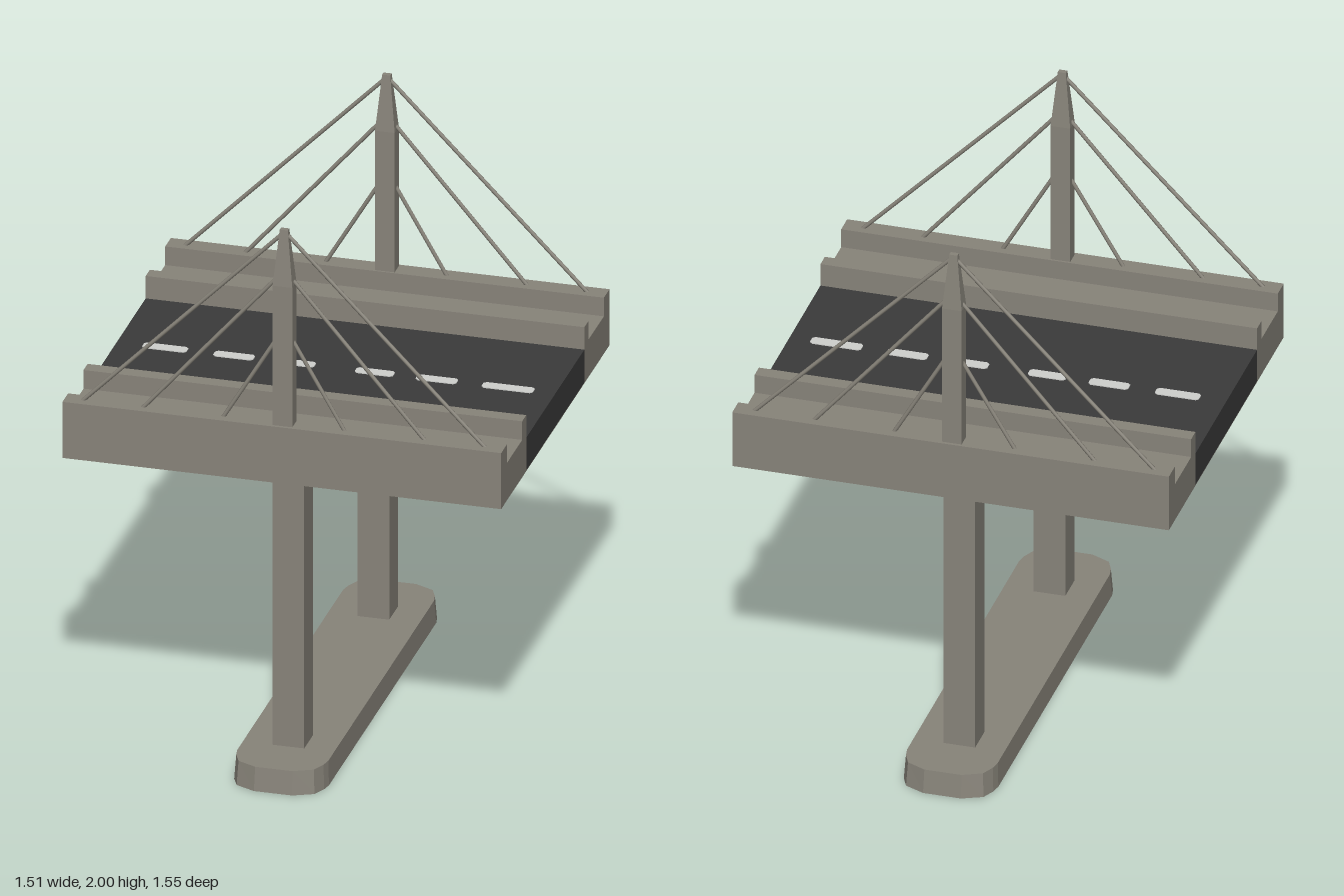
import * as THREE from 'three';

const concrete = new THREE.MeshStandardMaterial({ color: 0x88847a, side: THREE.DoubleSide });
concrete.name = 'concrete';
const asphalt = new THREE.MeshStandardMaterial({ color: 0x3b3b3b });
asphalt.name = 'asphalt';
const paint = new THREE.MeshStandardMaterial({ color: 0xcfd0cd });
paint.name = 'roadPaint';

const ZC = -0.005; // deck centre line
const DECK_BOTTOM = 1.085, CURB_TOP = 1.29, ROAD_TOP = 1.208, HALF_LENGTH = 0.756;

function add(parent, name, geometry, material, x = 0, y = 0, z = 0) {
  const mesh = new THREE.Mesh(geometry, material);
  mesh.name = name;
  mesh.position.set(x, y, z);
  parent.add(mesh);
  return mesh;
}

function flat(geometry) {
  const g = geometry.index ? geometry.toNonIndexed() : geometry;
  g.computeVertexNormals();
  return g;
}

// Deck cross-section: curbs, sunken walkways and a channel for the road
function deckGeometry() {
  const half = [
    [0.36, DECK_BOTTOM + 0.003], [0.36, CURB_TOP], [0.411, CURB_TOP], [0.411, 1.222],
    [0.602, 1.222], [0.602, CURB_TOP], [0.672, CURB_TOP], [0.672, DECK_BOTTOM],
  ];
  const mirrored = half.map(([z, y]) => [-z, y]).reverse();
  const shape = new THREE.Shape([...mirrored, ...half].map(([z, y]) => new THREE.Vector2(z, y)));
  const g = new THREE.ExtrudeGeometry(shape, { depth: HALF_LENGTH * 2, bevelEnabled: false });
  return g.translate(0, 0, -HALF_LENGTH).rotateY(Math.PI / 2);
}

// Footing: hollow shell, open underneath, with chamfered ends and a slight taper
function footingGeometry(height) {
  const corner = [[0.162, 0.665], [0.155, 0.7], [0.134, 0.745], [0.066, 0.776]];
  const flip = (sx, sz, list) => list.map(([x, z]) => [x * sx, z * sz]);
  const back = [...corner].reverse();
  const ring = [
    ...corner, ...flip(-1, 1, back), ...flip(-1, -1, corner), ...flip(1, -1, back),
  ];
  const top = ring.map(([x, z]) => [x * 0.97, z - Math.sign(z) * 0.009]);
  const p = [];
  ring.forEach((a, i) => {
    const j = (i + 1) % ring.length;
    const b = ring[j], c = top[j], d = top[i];
    const A = [a[0], 0, a[1]], B = [b[0], 0, b[1]];
    const C = [c[0], height, c[1]], D = [d[0], height, d[1]];
    p.push(...A, ...C, ...B, ...A, ...D, ...C); // wall
    p.push(0, height, 0, ...C, ...D); // top fan
  });
  // Reverse the winding so that every face points outward
  for (let i = 0; i < p.length; i += 9) {
    for (let k = 0; k < 3; k++) [p[i + 3 + k], p[i + 6 + k]] = [p[i + 6 + k], p[i + 3 + k]];
  }
  // The fan is turned the other way round from the walls
  for (let i = 18; i < p.length; i += 27) {
    if (triangleNormalY(p, i) < 0) {
      for (let k = 0; k < 3; k++) [p[i + 3 + k], p[i + 6 + k]] = [p[i + 6 + k], p[i + 3 + k]];
    }
  }
  const g = new THREE.BufferGeometry();
  g.setAttribute('position', new THREE.Float32BufferAttribute(p, 3));
  return flat(g);
}

function triangleNormalY(p, i) {
  const ux = p[i + 3] - p[i], uz = p[i + 5] - p[i + 2];
  const vx = p[i + 6] - p[i], vz = p[i + 8] - p[i + 2];
  return uz * vx - ux * vz;
}

// Pylon: straight shaft with a tapering head
function pylonGeometry() {
  const g = new THREE.BoxGeometry(0.068, 2, 0.052, 1, 2, 1);
  const pos = g.attributes.position;
  for (let i = 0; i < pos.count; i++) {
    const level = Math.round(pos.getY(i)) + 1;
    pos.setY(i, [1.27, 1.8, 2][level]);
    if (level === 2) {
      pos.setX(i, Math.sign(pos.getX(i)) * 0.014);
      pos.setZ(i, Math.sign(pos.getZ(i)) * 0.009);
    }
  }
  return flat(g);
}

function addCable(parent, x0, y0, x1, y1, z) {
  const from = new THREE.Vector3(x0, y0, z), to = new THREE.Vector3(x1, y1, z);
  const dir = to.clone().sub(from);
  const mesh = add(parent, 'cable', new THREE.CylinderGeometry(0.007, 0.007, dir.length(), 8), concrete);
  mesh.position.copy(from).add(to).multiplyScalar(0.5);
  mesh.quaternion.setFromUnitVectors(new THREE.Vector3(0, 1, 0), dir.normalize());
}

// Lane dash: flat plate with clipped corners
function dashGeometry(length) {
  const h = length / 2, w = 0.021, c = 0.009;
  const pts = [[-h, -w + c], [-h + c, -w], [h - c, -w], [h, -w + c],
    [h, w - c], [h - c, w], [-h + c, w], [-h, w - c]];
  const shape = new THREE.Shape(pts.map(([x, y]) => new THREE.Vector2(x, y)));
  return new THREE.ExtrudeGeometry(shape, { depth: 0.003, bevelEnabled: false }).rotateX(-Math.PI / 2);
}

export function createModel() {
  const bridge = new THREE.Group();
  bridge.name = 'bridgeSection';

  // Deck and road
  add(bridge, 'deck', deckGeometry(), concrete, 0, 0, ZC);
  const roadBase = DECK_BOTTOM + 0.003;
  add(bridge, 'road', new THREE.BoxGeometry(HALF_LENGTH * 2, ROAD_TOP - roadBase, 0.72),
    asphalt, 0, (ROAD_TOP + roadBase) / 2, ZC);

  // Lane dashes
  const dashes = [[-0.665, -0.512], [-0.42, -0.282], [-0.203, -0.072],
    [0.068, 0.2], [0.278, 0.418], [0.505, 0.682]];
  for (const [a, b] of dashes) {
    add(bridge, 'laneDash', dashGeometry(b - a), paint, (a + b) / 2, ROAD_TOP, ZC);
  }

  // Footing and piers
  add(bridge, 'footing', footingGeometry(0.085), concrete);
  for (const z of [0.53, -0.525]) {
    add(bridge, 'pier', new THREE.BoxGeometry(0.11, 1.06, 0.107), concrete, -0.001, 0.56, z);
  }

  // Pylons with their stay cables
  const stays = [[0.005, 1.985, 0.695], [0.03, 1.815, 0.487], [0.03, 1.592, 0.21]];
  for (const side of [1, -1]) {
    const z = ZC + side * 0.635;
    const tower = new THREE.Group();
    tower.name = side > 0 ? 'frontTower' : 'backTower';
    add(tower, 'pylon', pylonGeometry(), concrete, -0.001, 0, z);
    for (const [x0, y0, x1] of stays) {
      for (const s of [1, -1]) addCable(tower, s * x0, y0, s * x1 - 0.003, 1.285, z);
    }
    bridge.add(tower);
  }
  return bridge;
}
